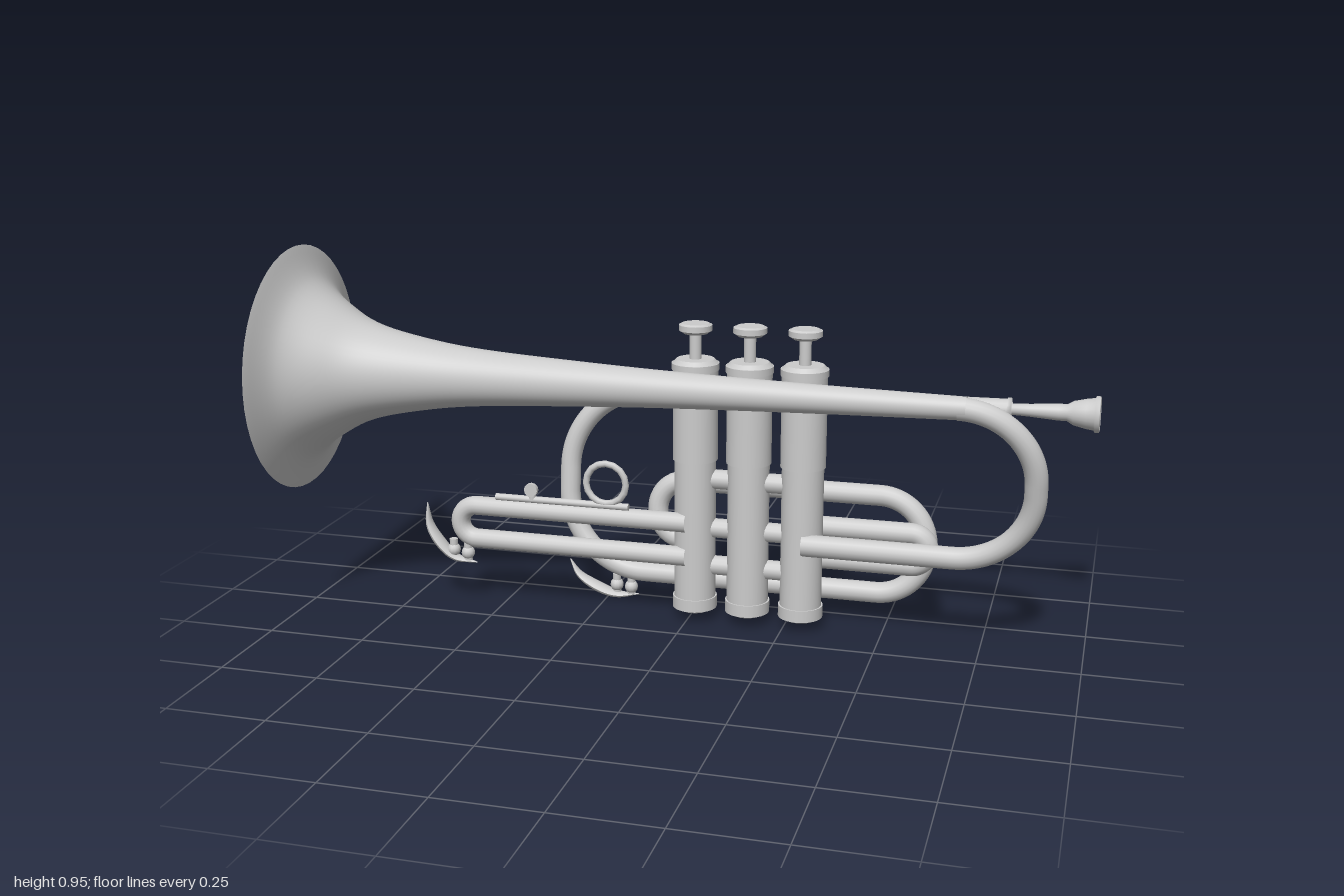
import * as THREE from 'three';

const V = (p) => new THREE.Vector3(...p);

// Polyline with rounded corners: each inner point is [x, y, z, bendRadius]
function bentPath(points) {
  const path = new THREE.CurvePath();
  let from = V(points[0].slice(0, 3));
  for (let i = 1; i < points.length - 1; i++) {
    const c = V(points[i].slice(0, 3));
    const r = points[i][3];
    const a = c.clone().add(V(points[i - 1].slice(0, 3)).sub(c).setLength(r));
    const b = c.clone().add(V(points[i + 1].slice(0, 3)).sub(c).setLength(r));
    if (from.distanceTo(a) > 1e-4) path.add(new THREE.LineCurve3(from, a));
    path.add(new THREE.CubicBezierCurve3(a, a.clone().lerp(c, 0.552), b.clone().lerp(c, 0.552), b));
    from = b;
  }
  path.add(new THREE.LineCurve3(from, V(points[points.length - 1].slice(0, 3))));
  return path;
}

export function createModel() {
  const model = new THREE.Group();
  const mat = new THREE.MeshStandardMaterial({ color: 0xcccccc, side: THREE.DoubleSide });

  const add = (name, geo, pos = [0, 0, 0], parent = model) => {
    const mesh = new THREE.Mesh(geo, mat);
    mesh.name = name;
    mesh.position.set(...pos);
    parent.add(mesh);
    return mesh;
  };
  const pipe = (name, points, r, segments = 120) =>
    add(name, new THREE.TubeGeometry(bentPath(points), segments, r, 16), [0, 0, 0]);
  const rodX = (name, x0, x1, y, z, r) => {
    const geo = new THREE.CylinderGeometry(r, r, x1 - x0, 14).rotateZ(Math.PI / 2);
    return add(name, geo, [(x0 + x1) / 2, y, z]);
  };
  // Turned part along x; profile is [x, radius]
  const turnedX = (name, profile, y, z, sides) => {
    const pts = profile.map(([x, r]) => new THREE.Vector2(r, x));
    return add(name, new THREE.LatheGeometry(pts, sides).rotateZ(-Math.PI / 2), [0, y, z]);
  };

  // Flared bell and its long taper
  const flare = new THREE.SplineCurve([
    [-1, 0.313], [-0.96, 0.228], [-0.88, 0.165], [-0.79, 0.121], [-0.65, 0.09], [-0.5, 0.071],
    [-0.25, 0.056], [0, 0.045], [0.35, 0.035], [0.7, 0.028],
  ].map((p) => new THREE.Vector2(...p)));
  turnedX('bell', flare.getPoints(60).map((p) => [p.x, p.y]), 0.638, 0, 48);

  // Bend from the bell taper back into the third valve
  pipe('bellBend', [
    [0.68, 0.636, 0], [0.868, 0.634, -0.002, 0.185], [0.868, 0.237, -0.092, 0.195], [0.3, 0.237, -0.092],
  ], 0.028);

  // Lead pipe, main loop and tuning slide, ending in the first valve
  pipe('leadPipe', [
    [0.78, 0.575, -0.272], [-0.36, 0.56, -0.275, 0.21], [-0.36, 0.083, -0.22, 0.21],
    [0.595, 0.083, -0.22, 0.125], [0.595, 0.335, -0.248, 0.125],
    [-0.115, 0.335, -0.248, 0.077], [-0.115, 0.18, -0.228, 0.077],
    [0.013, 0.18, -0.228, 0.04], [0.013, 0.18, -0.14],
  ], 0.027, 300);

  // Mouthpiece with shank and hollow cup
  turnedX('mouthpiece', [
    [0.775, 0.028], [0.785, 0.028], [0.787, 0.014], [0.83, 0.016], [0.9, 0.021], [0.92, 0.021],
    [0.935, 0.03], [0.965, 0.037], [0.985, 0.04], [0.988, 0.045], [0.998, 0.045], [1, 0.041],
    [0.99, 0.033], [0.965, 0.024], [0.95, 0.01], [0.94, 0.008], [0.9, 0.006],
  ], 0.577, -0.27, 24);

  // Three piston valves: [name, y0, y1, bottom radius, top radius]
  const valveParts = [
    ['bottomCapNub', 0.027, 0.035, 0.04, 0.052],
    ['bottomCap', 0.035, 0.066, 0.057, 0.057],
    ['lowerCasing', 0.06, 0.44, 0.053, 0.053],
    ['upperCasing', 0.43, 0.665, 0.057, 0.057],
    ['topCap', 0.663, 0.68, 0.06, 0.06],
    ['topCapDome', 0.68, 0.69, 0.058, 0.048],
    ['stem', 0.68, 0.76, 0.015, 0.015],
    ['buttonUnderside', 0.754, 0.762, 0.03, 0.041],
    ['button', 0.762, 0.776, 0.042, 0.042],
    ['buttonTop', 0.776, 0.78, 0.04, 0.034],
  ];
  for (const x of [0.013, 0.152, 0.291]) {
    const valve = new THREE.Group();
    valve.name = 'valve';
    valve.position.set(x, 0, -0.132);
    model.add(valve);
    for (const [name, y0, y1, rb, rt] of valveParts) {
      add(name, new THREE.CylinderGeometry(rt, rb, y1 - y0, 28), [0, (y0 + y1) / 2, 0], valve);
    }
  }

  // Short connectors between the valves
  for (const y of [0.38, 0.25, 0.15]) rodX('valveConnector', 0.02, 0.285, y, -0.132, 0.025);

  // Valve slides
  pipe('firstValveSlide', [
    [0.0, 0.27, -0.093], [-0.615, 0.27, -0.093, 0.045], [-0.615, 0.18, -0.093, 0.045], [0.0, 0.18, -0.093],
  ], 0.025);
  pipe('secondValveSlide', [
    [0.152, 0.262, -0.15], [0.152, 0.262, -0.258, 0.04], [0.152, 0.18, -0.258, 0.04], [0.152, 0.18, -0.15],
  ], 0.027, 60);
  pipe('thirdValveSlide', [
    [0.3, 0.264, -0.174], [0.605, 0.264, -0.174, 0.042], [0.605, 0.18, -0.174, 0.042], [0.3, 0.18, -0.174],
  ], 0.027);

  // Finger ring on its rail, with a stop screw
  rodX('ringRail', -0.51, -0.15, 0.302, -0.083, 0.009);
  add('fingerRing', new THREE.TorusGeometry(0.053, 0.009, 8, 16), [-0.21, 0.36, -0.083]);
  add('stopScrew', new THREE.CylinderGeometry(0.01, 0.01, 0.04, 10), [-0.41, 0.32, -0.083]);
  add('stopScrewHead', new THREE.CylinderGeometry(0.018, 0.018, 0.012, 12).rotateX(Math.PI / 2), [-0.41, 0.33, -0.075]);

  // Crescent hooks: curved bars tapering to both tips, wider across than thick
  const hook = (name, points, z) => {
    const n = 28;
    const curve = new THREE.CatmullRomCurve3(points.map(([x, y]) => new THREE.Vector3(x, y, 0)));
    const geo = new THREE.TubeGeometry(curve, n, 0.012, 10);
    const p = geo.attributes.position;
    for (let i = 0; i < p.count; i++) {
      const t = Math.floor(i / 11) / n;
      const c = curve.getPointAt(t);
      const f = 0.1 + 0.9 * Math.sin(Math.PI * t);
      p.setXYZ(i, c.x + (p.getX(i) - c.x) * f, c.y + (p.getY(i) - c.y) * f, p.getZ(i) * f * 1.9);
    }
    geo.computeVertexNormals();
    add(name, geo, [0, 0, z]);
  };
  hook('slideHook', [[-0.705, 0.27], [-0.7, 0.21], [-0.67, 0.16], [-0.63, 0.125], [-0.57, 0.115]], -0.085);
  hook('loopHook', [[-0.355, 0.1], [-0.33, 0.06], [-0.28, 0.03], [-0.225, 0.013], [-0.165, 0.018]], -0.218);

  // Posts and beads holding the hooks
  for (const [x, y, z] of [[-0.635, 0.145, -0.087], [-0.595, 0.14, -0.087], [-0.225, 0.04, -0.219], [-0.185, 0.037, -0.219]]) {
    add('hookPost', new THREE.CylinderGeometry(0.011, 0.011, 0.05, 10), [x, y + 0.005, z]);
    add('hookBead', new THREE.SphereGeometry(0.018, 12, 8), [x, y, z]);
  }

  return model;
}
